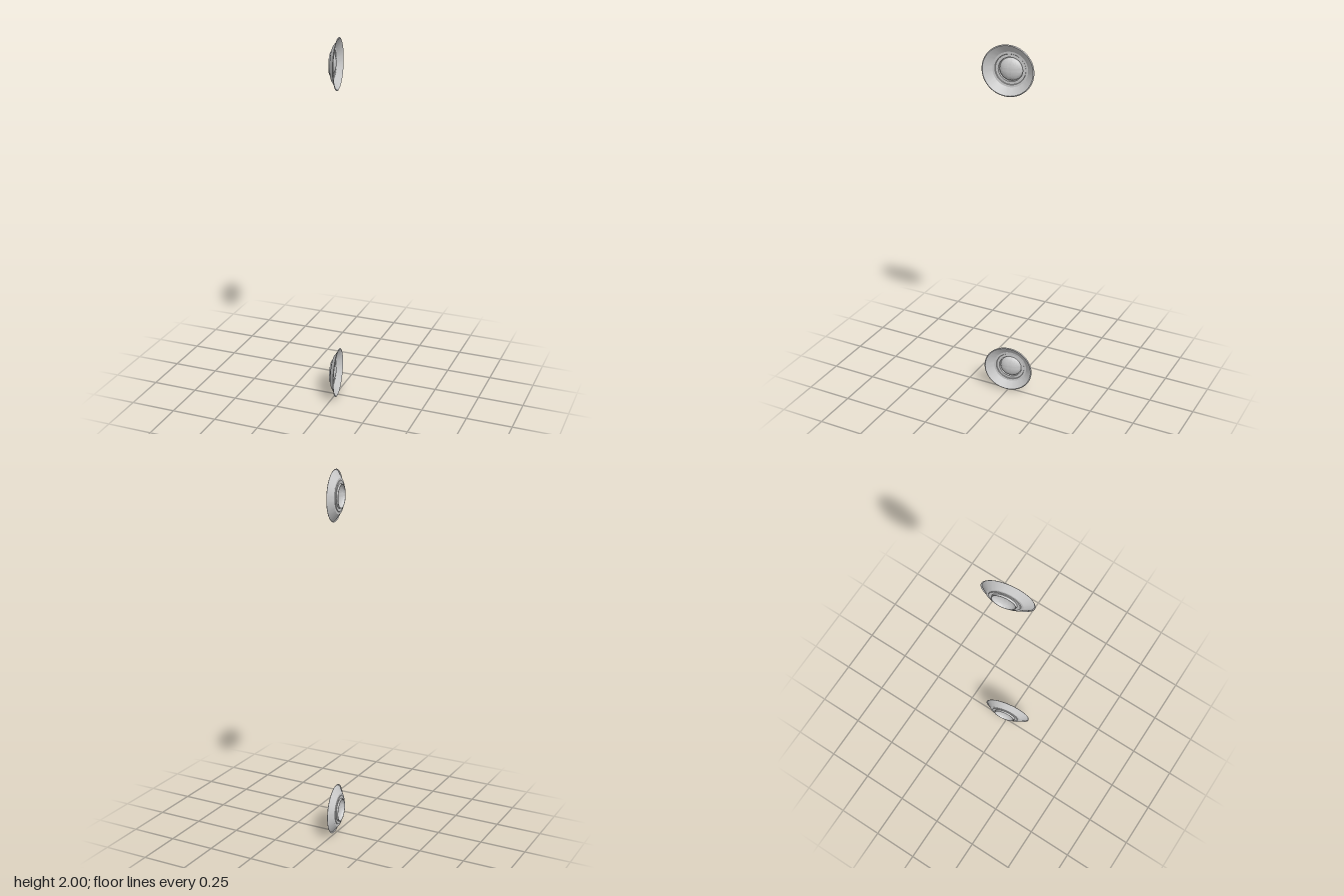
import * as THREE from 'three';
import { toCreasedNormals } from 'three/addons/utils/BufferGeometryUtils.js';

const SLANT = 0.174; // lean of each disc, x per unit z
const material = new THREE.MeshStandardMaterial({ color: 0xcccccc, side: THREE.DoubleSide });

// Turns a [radius, x] profile about the x axis, then slants it
function turned(name, profile) {
  const points = profile.map(([r, x]) => new THREE.Vector2(r, x));
  const geometry = new THREE.LatheGeometry(points, 64);
  geometry.rotateZ(-Math.PI / 2);
  const p = geometry.attributes.position;
  for (let i = 0; i < p.count; i++) p.setX(i, p.getX(i) + SLANT * p.getZ(i));
  const mesh = new THREE.Mesh(toCreasedNormals(geometry, 0.45), material);
  mesh.name = name;
  return mesh;
}

function createDisc(name, y) {
  const disc = new THREE.Group();
  disc.name = name;

  // Thin lip around the open side
  disc.add(turned('rim', [[0.135, 0.0115], [0.133, 0.0135], [0.130, 0.0146], [0.127, 0.0125]]));

  // Shallow cone, closing in with two small steps
  disc.add(turned('cone', [
    [0.127, 0.0125], [0.092, -0.014], [0.080, -0.0155],
    [0.078, -0.0185], [0.063, -0.0175],
  ]));

  // Short collar behind the dome
  disc.add(turned('collar', [[0.063, -0.0175], [0.062, -0.0275], [0.059, -0.0275]]));

  // Dome bulging from the collar toward the open side
  const dome = [];
  for (let i = 0; i <= 12; i++) {
    const t = (i / 12) * Math.PI / 2;
    dome.push([i === 12 ? 0 : 0.059 * Math.cos(t), -0.0275 + 0.028 * Math.sin(t)]);
  }
  disc.add(turned('dome', dome));

  disc.position.y = y;
  return disc;
}

export function createModel() {
  const model = new THREE.Group();
  model.name = 'discPair';
  model.add(createDisc('lowerDisc', 0.135), createDisc('upperDisc', 1.865));
  return model;
}
